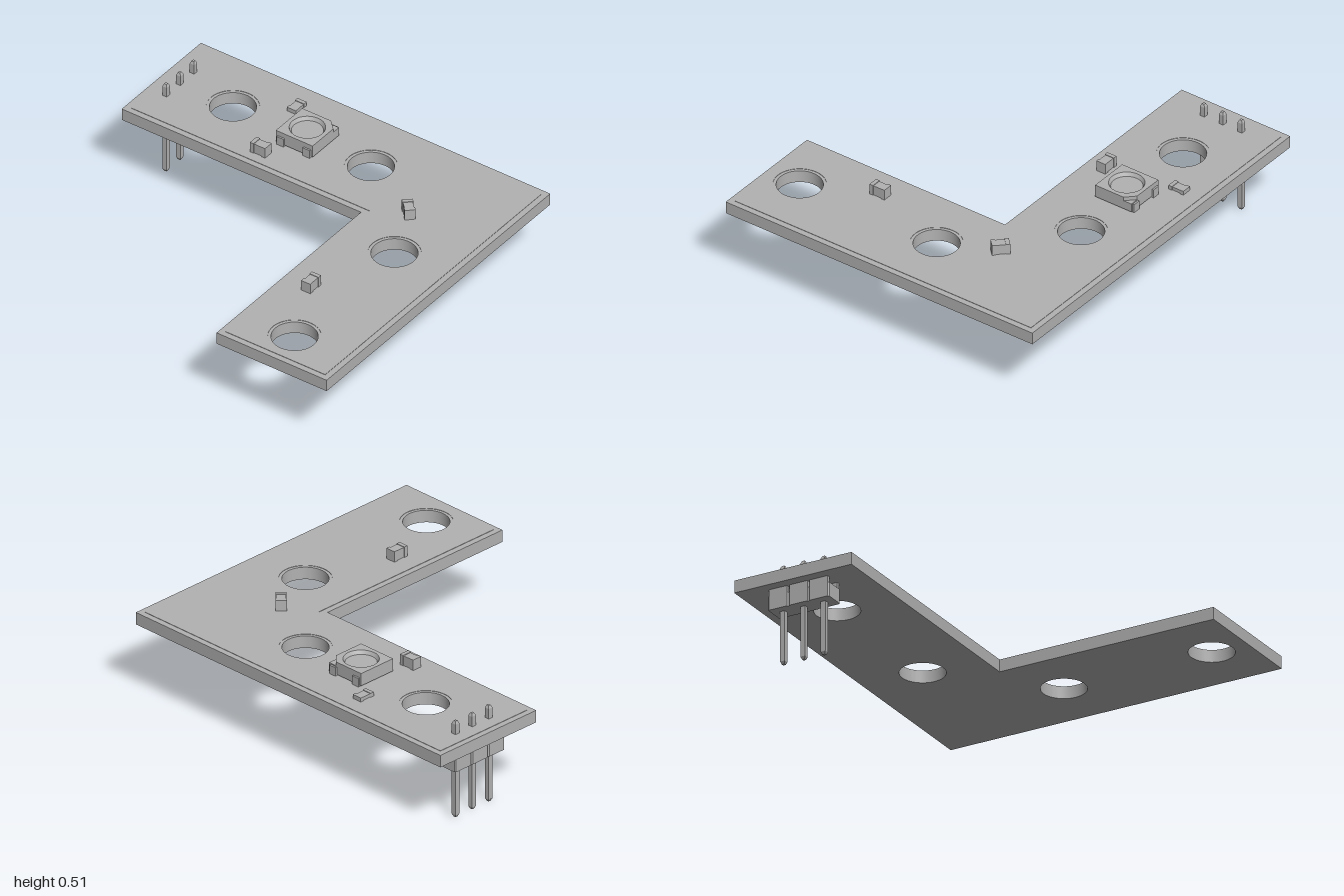
import * as THREE from 'three';
import { toCreasedNormals } from 'three/addons/utils/BufferGeometryUtils.js';

const BOARD_BOTTOM = 0.374, BOARD_TOP = 0.437;

export function createModel() {
  const model = new THREE.Group();
  const grey = new THREE.MeshStandardMaterial({ color: 0xb2b2b2 });
  grey.name = 'plain grey';

  const add = (parent, name, geometry, x = 0, y = 0, z = 0) => {
    const mesh = new THREE.Mesh(geometry, grey);
    mesh.name = name;
    mesh.position.set(x, y, z);
    parent.add(mesh);
    return mesh;
  };
  const box = (parent, name, w, h, d, x, y, z) =>
    add(parent, name, new THREE.BoxGeometry(w, h, d), x, y, z);

  // Plate lying flat: outline as [x, z] points, round holes as [x, z, radius]
  const plate = (points, holes, y0, y1) => {
    const shape = new THREE.Shape(points.map(([x, z]) => new THREE.Vector2(x, -z)));
    for (const [x, z, r] of holes) {
      const hole = new THREE.Path();
      hole.absarc(x, -z, r, 0, Math.PI * 2, true);
      shape.holes.push(hole);
    }
    const g = new THREE.ExtrudeGeometry(shape, { depth: y1 - y0, bevelEnabled: false, curveSegments: 32 });
    g.rotateX(-Math.PI / 2);
    g.translate(0, y0, 0);
    return toCreasedNormals(g, 0.6);
  };

  // L-shaped board with four mounting holes
  const outline = (i) => [
    [-0.89 + i, 0.37 + i], [-0.89 + i, 1 - i], [0.89 - i, 1 - i],
    [0.89 - i, -1 + i], [0.26 + i, -1 + i], [0.26 + i, 0.37 + i],
  ];
  const holes = (r) => [[0.575, -0.59, r], [0.575, 0.2, r], [0.095, 0.68, r], [-0.7, 0.68, r]];
  add(model, 'board', plate(outline(0), holes(0.11), BOARD_BOTTOM, BOARD_TOP));
  add(model, 'copperLayer', plate(outline(0.03), holes(0.125), BOARD_TOP, BOARD_TOP + 0.002));

  // Three-pin header under the board
  const header = new THREE.Group();
  header.name = 'pinHeader';
  header.position.set(0.576, 0, -0.895);
  model.add(header);
  for (const i of [-1, 0, 1]) {
    const x = i * 0.109, w = 0.0545, d = 0.053, c = 0.006;
    const segment = [
      [-w, -d + c], [-w, d - c], [-w + c, d], [w - c, d],
      [w, d - c], [w, -d + c], [w - c, -d], [-w + c, -d],
    ];
    add(header, 'headerBlock', plate(segment, [], 0.27, 0.342), x);
    for (const s of [-1, 1])
      box(header, 'headerFoot', 2 * (w - c), 0.032, 0.018, x, 0.358, s * 0.044);
    box(header, 'pin', 0.025, 0.477, 0.025, x, 0.2525, 0);
    // Tapered pin ends
    for (const top of [true, false]) {
      const tip = new THREE.CylinderGeometry(
        top ? 0.009 : 0.0177, top ? 0.0177 : 0.009, 0.014, 4).toNonIndexed();
      tip.rotateY(Math.PI / 4);
      tip.computeVertexNormals();
      add(header, 'pinTip', tip, x, top ? 0.498 : 0.007, 0);
    }
  }

  // Square lamp with a round recess, one clipped corner and four contacts
  const lamp = new THREE.Group();
  lamp.name = 'lamp';
  lamp.position.set(0.57, 0, -0.16);
  model.add(lamp);
  const h = 0.105, k = 0.045;
  box(lamp, 'lampBase', 2 * h, 0.045, 2 * h, 0, 0.4675, 0);
  const clipped = [[-h, -h], [-h, h], [h - k, h], [h, h - k], [h, -h]];
  add(lamp, 'lampRim', plate(clipped, [[0, 0, 0.085]], 0.49, 0.51));
  const bowl = new THREE.LatheGeometry(
    [[0.085, 0.51], [0.075, 0.492], [0, 0.492]].map(([r, y]) => new THREE.Vector2(r, y)), 48);
  add(lamp, 'lampBowl', toCreasedNormals(bowl, 0.4));
  for (const sx of [-1, 1])
    for (const sz of [-1, 1])
      box(lamp, 'lampContact', 0.02, 0.047, 0.04, sx * 0.104, 0.4605, sz * 0.075);

  // Small chips with slightly larger end caps
  const chip = (name, x, z, turn, height) => {
    const part = new THREE.Group();
    part.name = name;
    part.position.set(x, BOARD_TOP, z);
    part.rotation.y = turn;
    model.add(part);
    box(part, 'chipBody', 0.05, height - 0.006, 0.046, 0, height / 2, 0);
    for (const s of [-1, 1])
      box(part, 'chipEnd', 0.02, height, 0.052, s * 0.033, height / 2, 0);
  };
  chip('frontChip', -0.35, 0.523, 0, 0.057);
  chip('cornerChip', 0.375, 0.56, Math.PI / 4, 0.057);
  chip('sideChip', 0.363, -0.278, Math.PI / 2, 0.057);
  chip('flatChip', 0.738, -0.342, 0, 0.023);

  return model;
}
